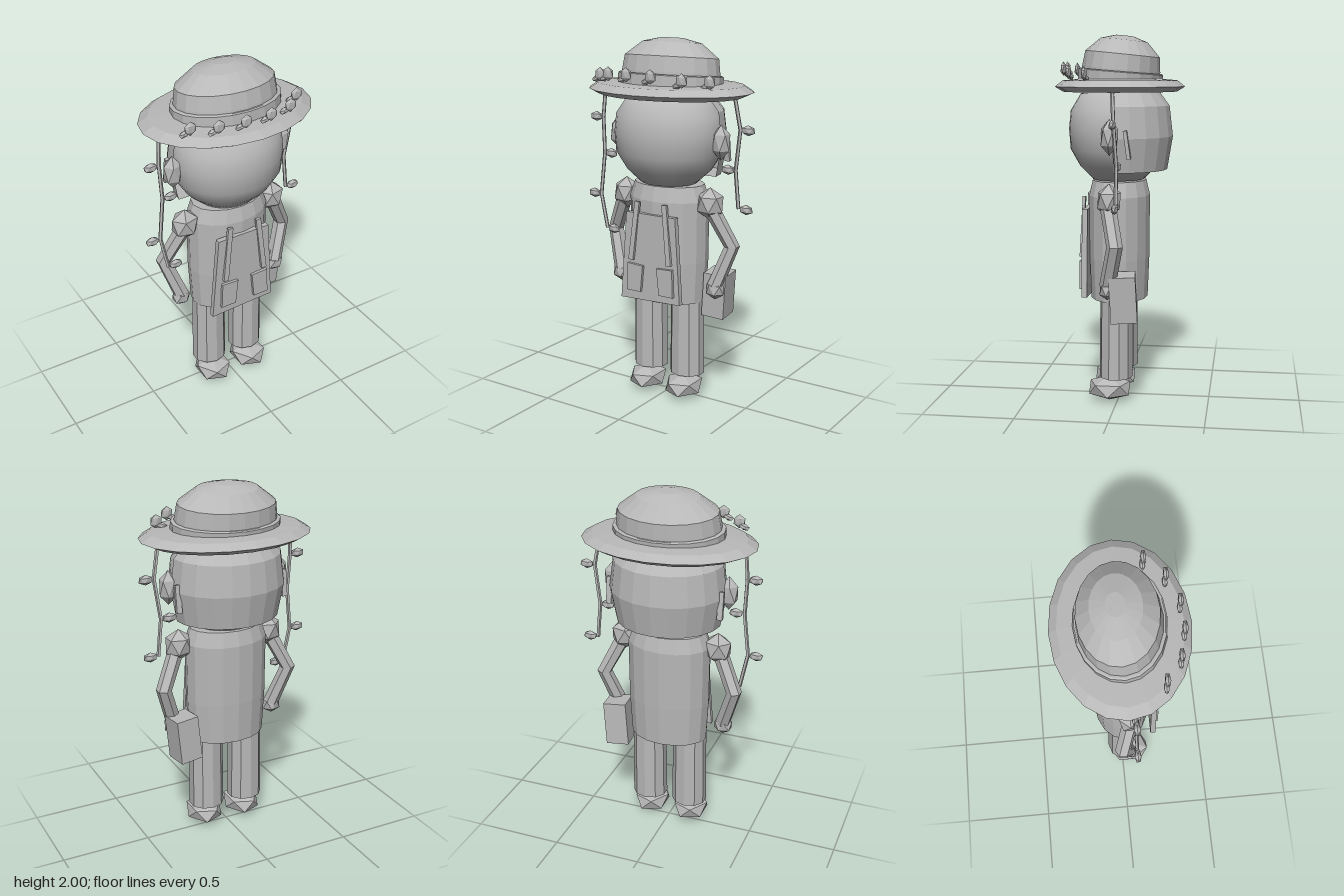
import * as THREE from 'three';

const grey = new THREE.MeshStandardMaterial({ color: 0xb8b8b8, side: THREE.DoubleSide });
grey.name = 'plain grey';

// Faceted normals baked into the geometry
function flat(geo) {
  const g = geo.index ? geo.toNonIndexed() : geo;
  g.computeVertexNormals();
  return g;
}

function add(parent, name, geo, pos = [0, 0, 0], rot = [0, 0, 0]) {
  const m = new THREE.Mesh(geo, grey);
  m.name = name;
  m.position.set(...pos);
  m.rotation.set(...rot);
  parent.add(m);
  return m;
}

// Oval turned solid; radii are given along z and widened along x
function turned(profile, wide, segments, start = 0, sweep = Math.PI * 2) {
  const pts = profile.map(([r, y]) => new THREE.Vector2(r, y));
  return new THREE.LatheGeometry(pts, segments, start, sweep).scale(wide, 1, 1);
}

// Faceted lump with a vertex at the top and bottom
function lump(rx, ry, rz) {
  return flat(new THREE.IcosahedronGeometry(1, 0).rotateZ(0.5536).scale(rx, ry, rz));
}

// Bent tube with one ring at each given point
function bentTube(points, radius, sides) {
  const curve = new THREE.CatmullRomCurve3(points.map(p => new THREE.Vector3(...p)));
  curve.getPointAt = t => curve.getPoint(t);
  curve.getTangentAt = t => curve.getTangent(t);
  return flat(new THREE.TubeGeometry(curve, points.length - 1, radius, sides));
}

// Flat panel from outline corners
function panel(corners, depth) {
  const shape = new THREE.Shape(corners.map(([x, y]) => new THREE.Vector2(x, y)));
  return flat(new THREE.ExtrudeGeometry(shape, { depth, bevelEnabled: false }));
}

export function createModel() {
  const model = new THREE.Group();
  model.name = 'figure';

  // Hat
  const hat = new THREE.Group();
  hat.name = 'hat';
  model.add(hat);
  add(hat, 'hatBrim', flat(turned(
    [[0, 1.7], [0.308, 1.7], [0.351, 1.727], [0.31, 1.76], [0.22, 1.768], [0, 1.768]], 1.365, 20)));
  add(hat, 'hatCrown', flat(turned(
    [[0.215, -0.02], [0.212, 0.05], [0.203, 0.13], [0.128, 0.205], [0.048, 0.229], [0, 0.23]], 1.34, 20)),
    [0, 1.77, 0], [-0.1, 0, 0]);
  add(hat, 'hatBand', flat(turned(
    [[0.229, -0.03], [0.229, 0.035], [0.222, 0.04], [0.205, 0.04]], 1.33, 20)),
    [0, 1.77, 0], [-0.08, 0, 0]);

  // Berries and leaves round the front of the brim
  const berries = [[-0.32, 1.805, 0.195], [-0.207, 1.82, 0.275], [-0.07, 1.825, 0.305],
    [0.077, 1.822, 0.3], [0.23, 1.805, 0.245], [0.335, 1.795, 0.145]];
  berries.forEach(([x, y, z], i) => {
    add(hat, 'berry' + i, lump(0.036, 0.038, 0.016), [x, y, z]);
    add(hat, 'berryLeaf' + i, lump(0.032, 0.018, 0.015), [x - 0.03, y - 0.025, z - 0.008], [0, 0, 0.3]);
  });

  // Hanging vines, each with leaves to alternate sides
  const vines = {
    right: { side: -1, path: [[-0.41, 1.71, 0.03], [-0.42, 1.55, 0.04], [-0.41, 1.35, 0.045],
      [-0.435, 1.11, 0.05], [-0.395, 0.915, 0.05]] },
    left: { side: 1, path: [[0.395, 1.71, -0.01], [0.425, 1.54, -0.02], [0.395, 1.32, -0.03],
      [0.415, 1.115, -0.03]] },
  };
  for (const [key, { side, path }] of Object.entries(vines)) {
    add(hat, key + 'Vine', bentTube(path, 0.011, 5));
    path.slice(1).forEach(([x, y, z], i) => {
      const out = i % 2 ? -side : side;
      add(hat, key + 'VineLeaf' + i, lump(0.042, 0.028, 0.02), [x + out * 0.047, y, z]);
    });
  }

  // Head, smooth and rounded
  add(model, 'head', turned([[0, 1.222], [0.14, 1.225], [0.212, 1.3], [0.262, 1.39], [0.27, 1.5],
    [0.26, 1.6], [0.205, 1.69], [0, 1.75]], 1.14, 32), [0, 0, 0.01]);

  // Hair wrapped round the back half
  add(model, 'hair', flat(turned([[0.12, 1.28], [0.257, 1.28], [0.287, 1.46], [0.268, 1.625], [0.19, 1.73]],
    1.13, 10, Math.PI / 2, Math.PI)), [0, 0, 0]);

  // Torso
  add(model, 'torso', flat(turned([[0, 0.57], [0.157, 0.57], [0.166, 0.8], [0.168, 1.14],
    [0.148, 1.222], [0, 1.222]], 1.4, 16)), [0, 0, 0.005]);

  // Apron front with its straps and pockets
  add(model, 'apron', panel([[-0.2, 0.575], [0.185, 0.59], [0.155, 1.07], [-0.16, 1.07]], 0.03), [0, 0, 0.16]);

  for (const s of [-1, 1]) {
    const side = s < 0 ? 'right' : 'left';
    add(model, side + 'Strap', flat(new THREE.BoxGeometry(0.03, 0.33, 0.016)),
      [s * 0.105, 0.97, 0.193], [-0.04, 0, s * 0.11]);
    add(model, side + 'Pocket', panel(
      [[s * 0.15, 0.63], [s * 0.06, 0.63], [s * 0.045, 0.78], [s * 0.145, 0.785]], 0.016), [0, 0, 0.19]);

    // Ear and the lock of hair behind it
    add(model, side + 'Ear', lump(0.055, 0.095, 0.05), [s * 0.33, 1.47, 0.015]);
    add(model, side + 'HairLock', flat(new THREE.BoxGeometry(0.03, 0.15, 0.02)),
      [s * 0.315, 1.43, -0.075], [0.14, 0, 0]);

    // Arm
    add(model, side + 'Shoulder', lump(0.083, 0.09, 0.07), [s * 0.273, 1.135, 0.025]);
    add(model, side + 'Arm', bentTube(
      [[s * 0.285, 1.11, 0.03], [s * 0.385, 0.905, -0.02], [s * 0.31, 0.68, 0.03]], 0.043, 6));
    add(model, side + 'Hand', lump(0.058, 0.056, 0.045), [s * 0.312, 0.665, 0.03]);

    // Leg and shoe
    add(model, side + 'Leg', flat(new THREE.CylinderGeometry(0.095, 0.1, 0.46, 10).scale(1, 1, 0.92)),
      [s * 0.122, 0.37, 0.008]);
    add(model, side + 'Shoe', lump(0.11, 0.07, 0.13), [s * 0.122, 0.07, 0.045]);
  }

  // Bag carried in the left hand
  add(model, 'bag', flat(new THREE.BoxGeometry(0.13, 0.25, 0.14)), [0.287, 0.62, -0.052], [0.05, 0.1, -0.08]);

  return model;
}
